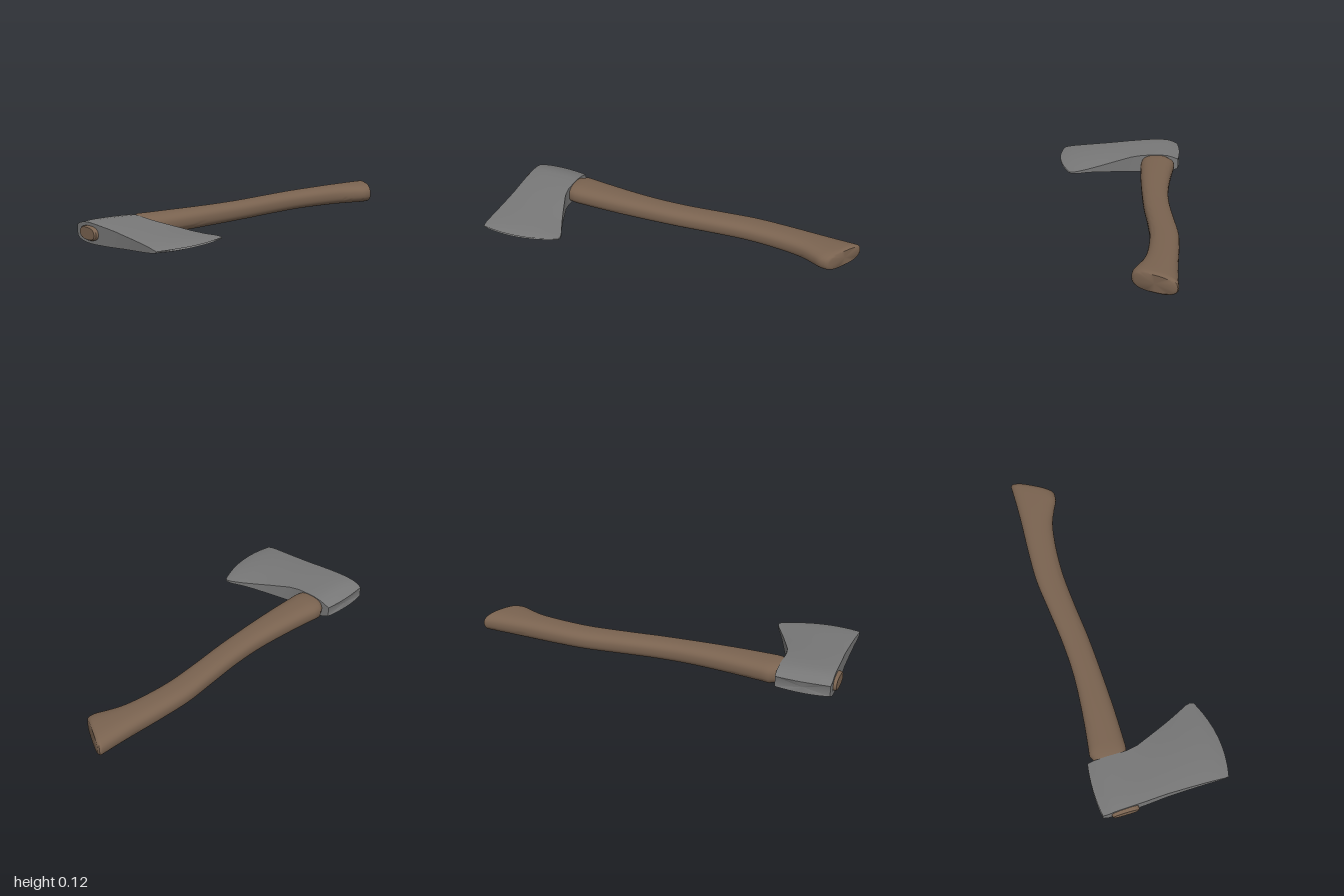
import * as THREE from 'three';
import { toCreasedNormals } from 'three/addons/utils/BufferGeometryUtils.js';

const { lerp } = THREE.MathUtils;

// Skin a list of equal-length rings and close both ends.
function loft(rings, crease) {
  const n = rings[0].length;
  const points = rings.flat();
  const index = [];
  for (let i = 0; i < rings.length - 1; i++) {
    for (let j = 0; j < n; j++) {
      const a = i * n + j, b = i * n + (j + 1) % n;
      index.push(a, b, a + n, b, b + n, a + n);
    }
  }
  const cap = (ring, start, flip) => {
    const c = points.length;
    points.push(ring.reduce((s, p) => s.add(p), new THREE.Vector3()).divideScalar(n));
    for (let j = 0; j < n; j++) {
      const a = start + j, b = start + (j + 1) % n;
      index.push(c, flip ? b : a, flip ? a : b);
    }
  };
  cap(rings[0], 0, true);
  cap(rings[rings.length - 1], (rings.length - 1) * n, false);
  const geometry = new THREE.BufferGeometry().setFromPoints(points);
  geometry.setIndex(index);
  return toCreasedNormals(geometry, crease);
}

// Rounded section between a back and a front point; y of each holds the half thickness.
function ovalRing(back, front, cy, n = 36) {
  const ring = [];
  const soft = v => Math.sign(v) * Math.abs(v) ** 0.78;
  for (let j = 0; j < n; j++) {
    const a = j / n * Math.PI * 2;
    const s = soft(Math.sin(a)), t = (s + 1) / 2;
    ring.push(new THREE.Vector3(
      lerp(back.x, front.x, t), cy + back.y * soft(Math.cos(a)), lerp(back.z, front.z, t)));
  }
  return ring;
}

export function createModel() {
  const group = new THREE.Group();
  const wood = new THREE.MeshStandardMaterial({ color: 0x7a6350 });
  wood.name = 'wood';
  const steel = new THREE.MeshStandardMaterial({ color: 0x787878 });
  steel.name = 'steel';
  const add = (name, geometry, material) => {
    const mesh = new THREE.Mesh(geometry, material);
    mesh.name = name;
    group.add(mesh);
  };
  const v = (x, y, z) => new THREE.Vector3(x, y, z);

  // Handle: back x, back z, front x, front z, half thickness
  const grip = [
    [-0.65, -0.327, -0.65, -0.127, 0.057],
    [-0.45, -0.302, -0.45, -0.127, 0.056],
    [-0.2, -0.284, -0.2, -0.135, 0.053],
    [0, -0.29, 0, -0.146, 0.051],
    [0.2, -0.31, 0.2, -0.165, 0.051],
    [0.4, -0.33, 0.4, -0.177, 0.051],
    [0.6, -0.326, 0.58, -0.168, 0.053],
    [0.76, -0.318, 0.71, -0.147, 0.055],
    [0.88, -0.315, 0.79, -0.115, 0.056],
    [0.96, -0.315, 0.84, -0.092, 0.056],
    [0.992, -0.315, 0.875, -0.088, 0.055],
  ];
  const backCurve = new THREE.CatmullRomCurve3(grip.map(r => v(r[0], r[4], r[1])));
  const frontCurve = new THREE.CatmullRomCurve3(grip.map(r => v(r[2], r[4], r[3])));
  const rings = [
    ovalRing(v(-0.70, 0.05, -0.298), v(-0.70, 0.05, -0.14), 0.064),
    ovalRing(v(-0.685, 0.053, -0.308), v(-0.685, 0.053, -0.133), 0.064),
  ];
  for (let i = 0; i <= 50; i++) {
    rings.push(ovalRing(backCurve.getPoint(i / 50), frontCurve.getPoint(i / 50), 0.064));
  }
  // Slanted butt with an eased rim
  rings.push(ovalRing(v(1.0, 0.051, -0.309), v(0.888, 0.051, -0.092), 0.064));
  rings.push(ovalRing(v(1.0, 0.045, -0.293), v(0.898, 0.045, -0.103), 0.064));
  add('handle', loft(rings, 0.7), wood);

  // Tenon passing through the head
  const tenon = [[-1, 0.032, -0.296, -0.162], [-0.992, 0.037, -0.302, -0.155], [-0.68, 0.04, -0.302, -0.155]]
    .map(([x, h, zb, zf]) => ovalRing(v(x, h, zb), v(x, h, zf), 0.064));
  add('tenon', loft(tenon, 0.7), wood);

  // Head: left x, left z, right x, right z, bow, half thickness at middle, left, right
  const headRows = [
    [-0.982, -0.350, -0.693, -0.350, -0.012, 0.032, 0.029, 0.029],
    [-0.985, -0.320, -0.690, -0.320, 0, 0.046, 0.042, 0.042],
    [-0.983, -0.290, -0.690, -0.290, 0, 0.056, 0.051, 0.051],
    [-0.981, -0.245, -0.690, -0.245, 0, 0.060, 0.055, 0.056],
    [-0.979, -0.190, -0.690, -0.190, 0, 0.058, 0.054, 0.055],
    [-0.976, -0.120, -0.688, -0.130, 0, 0.054, 0.050, 0.052],
    [-0.972, -0.060, -0.675, -0.070, 0, 0.050, 0.046, 0.046],
    [-0.968, 0.000, -0.645, 0.000, 0, 0.045, 0.041, 0.036],
    [-0.967, 0.060, -0.621, 0.055, 0.005, 0.040, 0.035, 0.028],
    [-0.966, 0.130, -0.592, 0.120, 0.01, 0.034, 0.029, 0.018],
    [-0.966, 0.210, -0.558, 0.190, 0.02, 0.027, 0.022, 0.010],
    [-0.967, 0.280, -0.530, 0.245, 0.03, 0.019, 0.015, 0.007],
    [-0.968, 0.320, -0.523, 0.272, 0.037, 0.012, 0.009, 0.005],
    [-0.965, 0.344, -0.528, 0.290, 0.041, 0.004, 0.003, 0.003],
  ];
  const steps = [0, 0.02, 0.06, 0.14, 0.25, 0.37, 0.5, 0.62, 0.74, 0.85, 0.94, 0.98, 1];
  const head = headRows.map(([lx, lz, rx, rz, bow, mid, left, right]) => {
    const side = sign => steps.map(u => {
      const l = Math.max(0, 1 - u / 0.3) ** 2, r = Math.max(0, (u - 0.35) / 0.65) ** 2;
      const h = mid - (mid - left) * l - (mid - right) * r;
      return v(lerp(lx, rx, u), 0.063 + sign * h, lerp(lz, rz, u) + bow * 4 * u * (1 - u));
    });
    return [...side(-1), ...side(1).reverse()];
  });
  add('axeHead', loft(head, 0.6), steel);

  return group;
}
